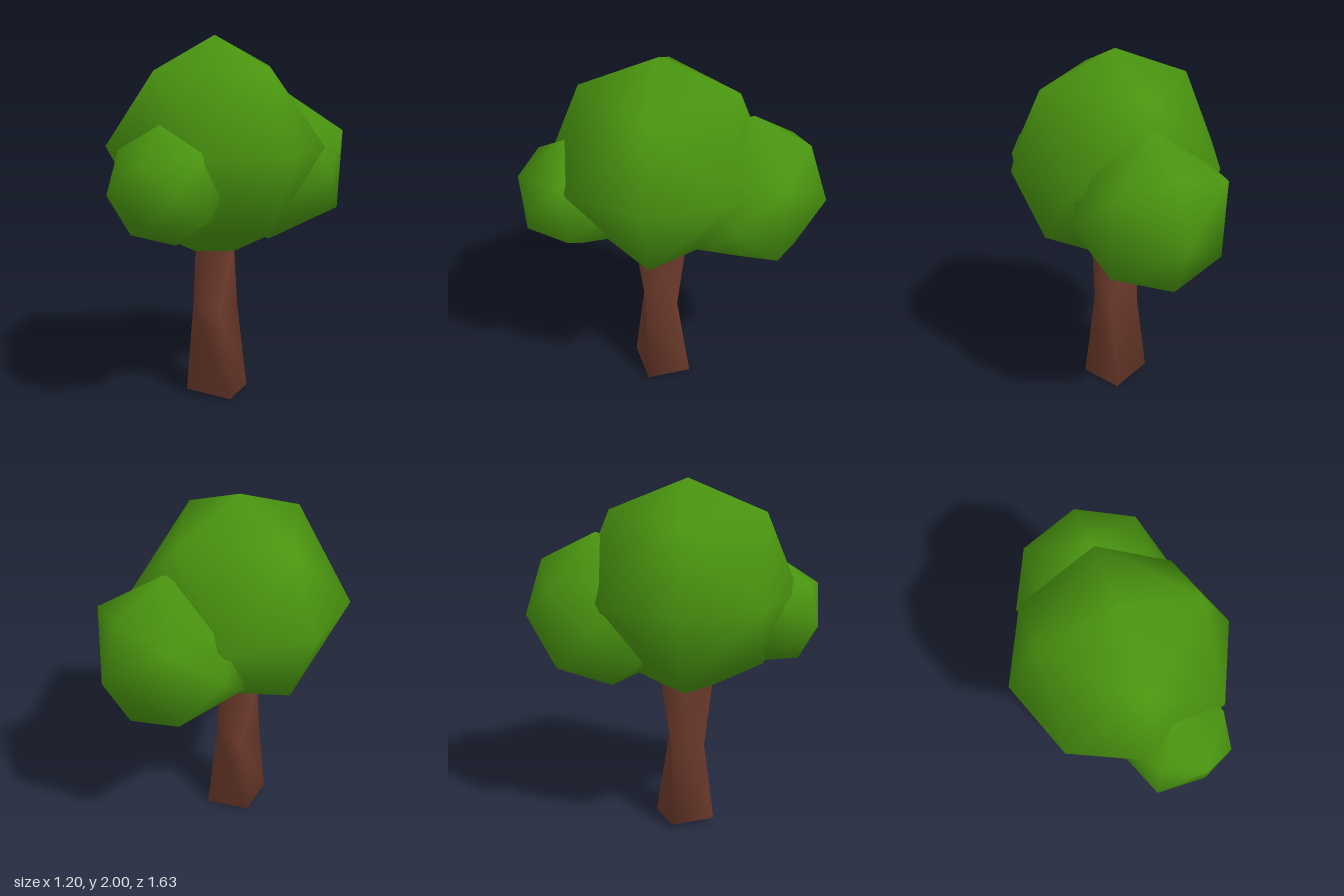
import * as THREE from 'three';

const leafGreen = new THREE.MeshStandardMaterial({ name: 'leafGreen', color: 0x4a9610 });
const barkBrown = new THREE.MeshStandardMaterial({ name: 'barkBrown', color: 0x703c2d });

const TRUNK_Z = 0.085;

// Skin four-cornered cross-sections, listed from bottom to top, and close the underside
function loftTrunk(rings) {
  const n = rings[0].length;
  const index = [0, 2, 1, 0, 3, 2];
  for (let r = 0; r < rings.length - 1; r++) {
    for (let i = 0; i < n; i++) {
      const a = r * n + i;
      const b = r * n + ((i + 1) % n);
      index.push(a, b, a + n, b, b + n, a + n);
    }
  }
  const geometry = new THREE.BufferGeometry();
  geometry.setAttribute('position', new THREE.Float32BufferAttribute(rings.flat(2), 3));
  geometry.setIndex(index);
  geometry.computeVertexNormals();
  return geometry;
}

// Square section turned by an angle; corners in order: right, front, left, back of the tree
function squareSection(y, radius, angle) {
  const c = radius * Math.cos(angle);
  const s = radius * Math.sin(angle);
  return [[-c, y, TRUNK_Z - s], [-s, y, TRUNK_Z + c], [c, y, TRUNK_Z + s], [s, y, TRUNK_Z - c]];
}

// Coarse smooth-shaded leaf ball
function leafBall(radius) {
  return new THREE.OctahedronGeometry(radius, 1);
}

export function createModel() {
  const tree = new THREE.Group();
  tree.name = 'tree';

  function add(name, geometry, material, x = 0, y = 0, z = 0) {
    const mesh = new THREE.Mesh(geometry, material);
    mesh.name = name;
    mesh.position.set(x, y, z);
    tree.add(mesh);
    return mesh;
  }

  // Trunk: uneven foot, narrow twisted waist, flared top
  const foot = [[-0.165, 0.03, 0.02], [-0.06, 0.03, 0.25], [0.18, 0.005, 0.14], [0.07, 0, -0.095]];
  const waist = squareSection(0.5, 0.126, 0.576);
  const top = squareSection(0.85, 0.146, 0);
  add('trunk', loftTrunk([foot, waist, top]), barkBrown);

  // Main crown: its lowest point is drawn down into the trunk
  const mainBall = leafBall(0.6);
  const p = mainBall.attributes.position;
  for (let i = 0; i < p.count; i++) {
    if (p.getY(i) < -0.59) p.setY(i, -0.635);
  }
  add('mainCrown', mainBall, leafGreen, 0, 1.4, TRUNK_Z);

  // Back crown: smaller ball tipped backwards
  add('backCrown', leafBall(0.443), leafGreen, 0, 1.26, -0.38).rotation.x = -0.87;

  // Front crown: small tuft off to the left, turned on all axes
  const frontCrown = add('frontCrown', leafBall(0.313), leafGreen, 0.14, 1.25, 0.54);
  frontCrown.setRotationFromMatrix(new THREE.Matrix4().makeBasis(
    new THREE.Vector3(-0.33, -0.79, 0.52),
    new THREE.Vector3(0.84, 0, 0.54),
    new THREE.Vector3(-0.427, 0.615, 0.664),
  ));

  return tree;
}
